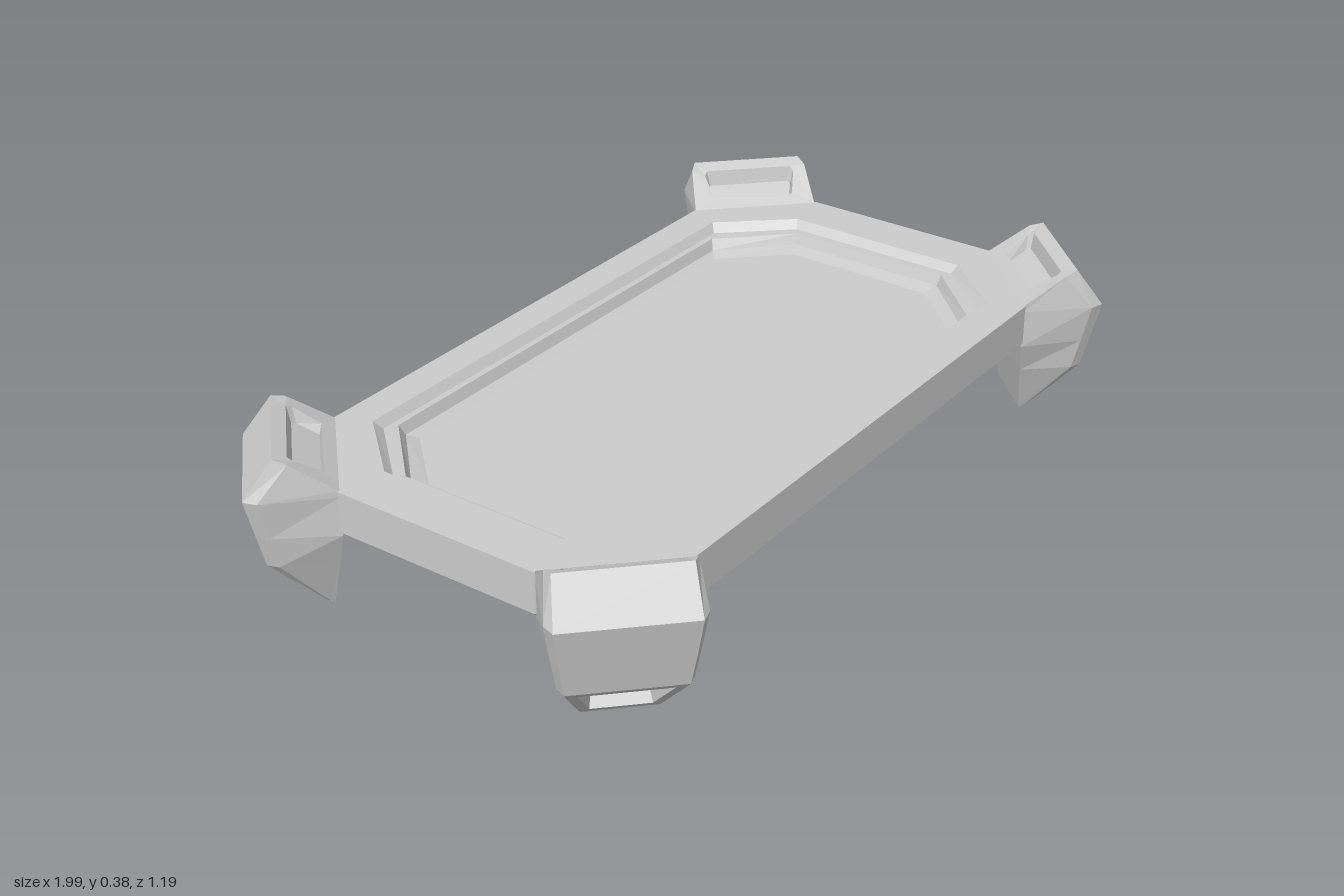
import * as THREE from 'three';

const material = new THREE.MeshStandardMaterial({ color: 0xcccccc, flatShading: true });

// Collects flat faces; rings run counter-clockwise seen from above / outside
function faceBuilder() {
  const pos = [];
  const tri = (a, b, c) => pos.push(...a, ...b, ...c);
  return {
    bands(rings, skip = () => false) {
      for (let i = 0; i < rings.length - 1; i++) {
        const lo = rings[i], hi = rings[i + 1], n = lo.length;
        for (let j = 0; j < n; j++) {
          if (skip(i, j)) continue;
          const k = (j + 1) % n;
          tri(lo[j], lo[k], hi[k]);
          tri(lo[j], hi[k], hi[j]);
        }
      }
    },
    cap(ring, flip = false) {
      const c = [0, 1, 2].map(a => ring.reduce((s, p) => s + p[a], 0) / ring.length);
      ring.forEach((p, j) => {
        const q = ring[(j + 1) % ring.length];
        if (flip) tri(c, q, p); else tri(c, p, q);
      });
    },
    mesh(name) {
      const g = new THREE.BufferGeometry();
      g.setAttribute('position', new THREE.Float32BufferAttribute(pos, 3));
      g.computeVertexNormals();
      const m = new THREE.Mesh(g, material);
      m.name = name;
      return m;
    }
  };
}

// Octagon with half sizes hx, hz and straight edges of half length cx, cz
function octagon(hx, cz, cx, hz, y) {
  return [[hx, cz], [hx, -cz], [cx, -hz], [-cx, -hz], [-hx, -cz], [-hx, cz], [-cx, hz], [cx, hz]]
    .map(([x, z]) => [x, y, z]);
}

// Tray: bevelled underside, outer wall, flat rim, stepped recess and floor
function createTray() {
  const rings = [
    octagon(0.84, 0.24, 0.64, 0.435, 0.18),
    octagon(0.875, 0.25, 0.66, 0.468, 0.21),
    octagon(0.875, 0.25, 0.66, 0.468, 0.305),
    octagon(0.76, 0.23, 0.62, 0.39, 0.305),
    octagon(0.745, 0.22, 0.605, 0.375, 0.285),
    octagon(0.725, 0.205, 0.575, 0.36, 0.285),
    octagon(0.715, 0.2, 0.565, 0.35, 0.26),
    octagon(0.68, 0.185, 0.545, 0.33, 0.25)
  ];
  const b = faceBuilder();
  b.bands(rings);
  b.cap(rings[0], true);
  b.cap(rings[rings.length - 1]);
  return b.mesh('tray');
}

// Leg cross-section: outer, bevel and inner points as [radius, height, half width]
function legRing(outer, bevel, inner) {
  const p = ([r, y, w], s) => [r, y, s * w];
  return [p(outer, 1), p(outer, -1), p(bevel, -1), p(inner, -1), p(inner, 1), p(bevel, 1)];
}

// Leg: faceted foot pointing along +x, with a recess on top and in the toe
function createLeg() {
  const body = [
    legRing([0.835, 0, 0.078], [0.83, 0, 0.082], [0.82, 0, 0.082]),
    legRing([0.95, 0.125, 0.12], [0.925, 0.125, 0.132], [0.802, 0.125, 0.125]),
    legRing([0.966, 0.2, 0.13], [0.94, 0.2, 0.143], [0.792, 0.2, 0.152]),
    legRing([0.985, 0.29, 0.14], [0.956, 0.29, 0.155], [0.792, 0.29, 0.152]),
    legRing([0.92, 0.38, 0.134], [0.89, 0.37, 0.145], [0.792, 0.305, 0.152])
  ];
  const b = faceBuilder();
  b.bands(body, (i, j) => i === 0 && j === 0);
  b.cap(body[0], true);

  // Top recess
  const top = [
    body[4],
    legRing([0.89, 0.367, 0.107], [0.878, 0.36, 0.114], [0.82, 0.322, 0.1]),
    legRing([0.882, 0.33, 0.1], [0.872, 0.325, 0.105], [0.826, 0.3, 0.092])
  ];
  b.bands(top);
  b.cap(top[2]);

  // Toe recess on the sloping lower face
  const toe = (r0, y0, w0, r1, y1, w1) =>
    [[r0, y0, w0], [r0, y0, -w0], [r1, y1, -w1], [r1, y1, w1]];
  const toeRings = [
    toe(0.835, 0, 0.078, 0.95, 0.125, 0.12),
    toe(0.8487, 0.015, 0.062, 0.9363, 0.11, 0.094),
    toe(0.832, 0.04, 0.058, 0.905, 0.12, 0.088)
  ];
  b.bands(toeRings);
  b.cap(toeRings[2]);
  return b.mesh('leg');
}

export function createModel() {
  const model = new THREE.Group();
  model.name = 'footedTray';
  model.add(createTray());

  // Four legs on the cut corners
  const leg = createLeg();
  for (const [sx, sz, name] of [
    [1, 1, 'frontLeftLeg'], [-1, 1, 'frontRightLeg'],
    [1, -1, 'backLeftLeg'], [-1, -1, 'backRightLeg']
  ]) {
    const m = leg.clone();
    m.name = name;
    m.rotation.y = Math.atan2(-sz, sx);
    m.position.set(0.202 * sx, 0, -0.202 * sz);
    model.add(m);
  }
  return model;
}
